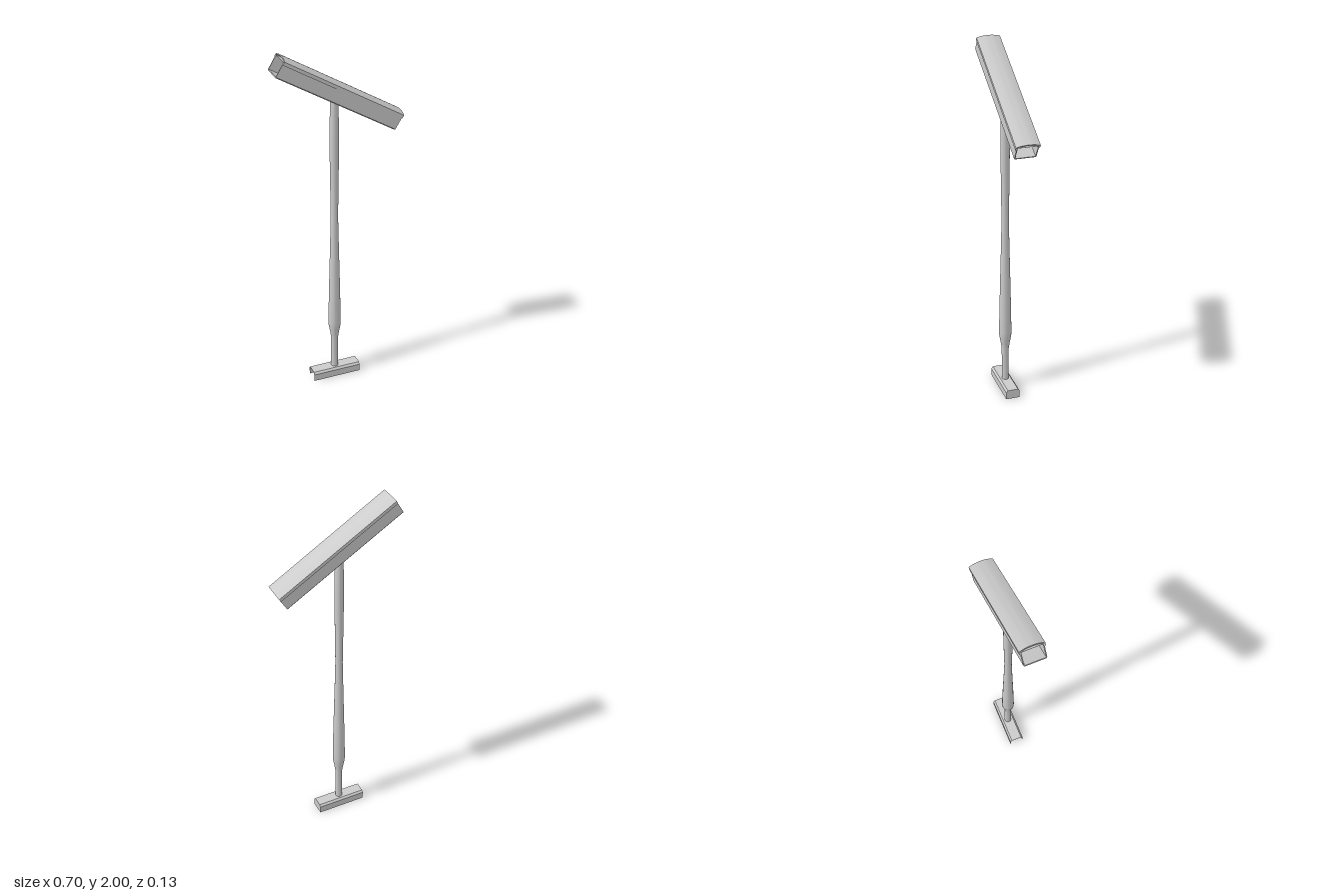
import * as THREE from 'three';
import { toCreasedNormals } from 'three/addons/utils/BufferGeometryUtils.js';

const material = new THREE.MeshStandardMaterial({ color: 0xcccccc, side: THREE.DoubleSide });

function add(parent, name, geometry) {
  const mesh = new THREE.Mesh(geometry, material);
  mesh.name = name;
  parent.add(mesh);
  return mesh;
}

// Closed shape from the right half of an outline, mirrored to the left
function mirrored(half, Type = THREE.Shape) {
  const left = half.map(([x, y]) => [-x, y]).reverse();
  return new Type([...half, ...left].map(([x, y]) => new THREE.Vector2(x, y)));
}

// Cross-section in (z, y) swept along x, centred
function sweep(shape, length) {
  const g = new THREE.ExtrudeGeometry(shape, { depth: length, bevelEnabled: false });
  g.translate(0, 0, -length / 2).rotateY(Math.PI / 2);
  return toCreasedNormals(g, 0.5);
}

// Points of a gently crowned curve from z = 'from' to z = 'to'
function crown(from, to, top, rise, width) {
  const points = [];
  for (let i = 0; i <= 8; i++) {
    const z = from + (to - from) * i / 8;
    points.push([z, top - rise * (z / width) ** 2]);
  }
  return points;
}

export function createModel() {
  const model = new THREE.Group();
  const poleX = -0.02;

  // Tilted hollow head: box tube with an overhanging crowned cover
  const head = new THREE.Group();
  head.name = 'head';
  head.position.set(0, 1.76, 0);
  head.rotation.z = -0.541;
  model.add(head);

  const length = 0.758;
  const tube = mirrored([[0.055, -0.052], [0.059, -0.047], [0.059, 0.034]]);
  tube.holes.push(mirrored([[0.054, -0.046], [0.054, 0.033]], THREE.Path));
  add(head, 'headTube', sweep(tube, length));

  const cover = mirrored([
    ...crown(0.002, 0.059, 0.046, 0.01, 0.065).slice(0, -1),
    [0.059, 0.037], [0.059, 0.022], [0.065, 0.022],
    ...crown(0.065, 0.002, 0.052, 0.012, 0.065),
  ].slice(0));
  add(head, 'headCover', sweep(cover, length));

  // Turned pole, thickest near the lower third
  const profile = [
    [0, 0.02], [0.02, 0.02], [0.02, 0.25], [0.025, 0.285], [0.034, 0.335], [0.035, 0.36],
    [0.033, 0.48], [0.029, 0.66], [0.024, 0.86], [0.02, 1.04], [0.021, 1.12],
    [0.024, 1.36], [0.025, 1.5], [0.024, 1.6], [0.021, 1.7], [0.02, 1.73], [0, 1.73],
  ].map(([r, y]) => new THREE.Vector2(r, y));
  const pole = add(model, 'pole', toCreasedNormals(new THREE.LatheGeometry(profile, 24), 0.5));
  pole.position.x = poleX;

  // Foot: inverted channel, closed at one end and open at the other
  const foot = new THREE.Group();
  foot.name = 'foot';
  foot.position.x = poleX;
  model.add(foot);

  const outer = [[0.04, 0], [0.04, 0.042], [0.03, 0.054]];
  const channel = mirrored([[0.037, 0], ...outer].concat([]));
  channel.holes = [];
  const wall = mirrored([[0.028, 0.051], [0.037, 0.041], [0.037, 0], ...outer]);
  add(foot, 'footChannel', sweep(wall, 0.28));
  const end = add(foot, 'footEnd', sweep(mirrored(outer), 0.004));
  end.position.x = 0.138;

  return model;
}
